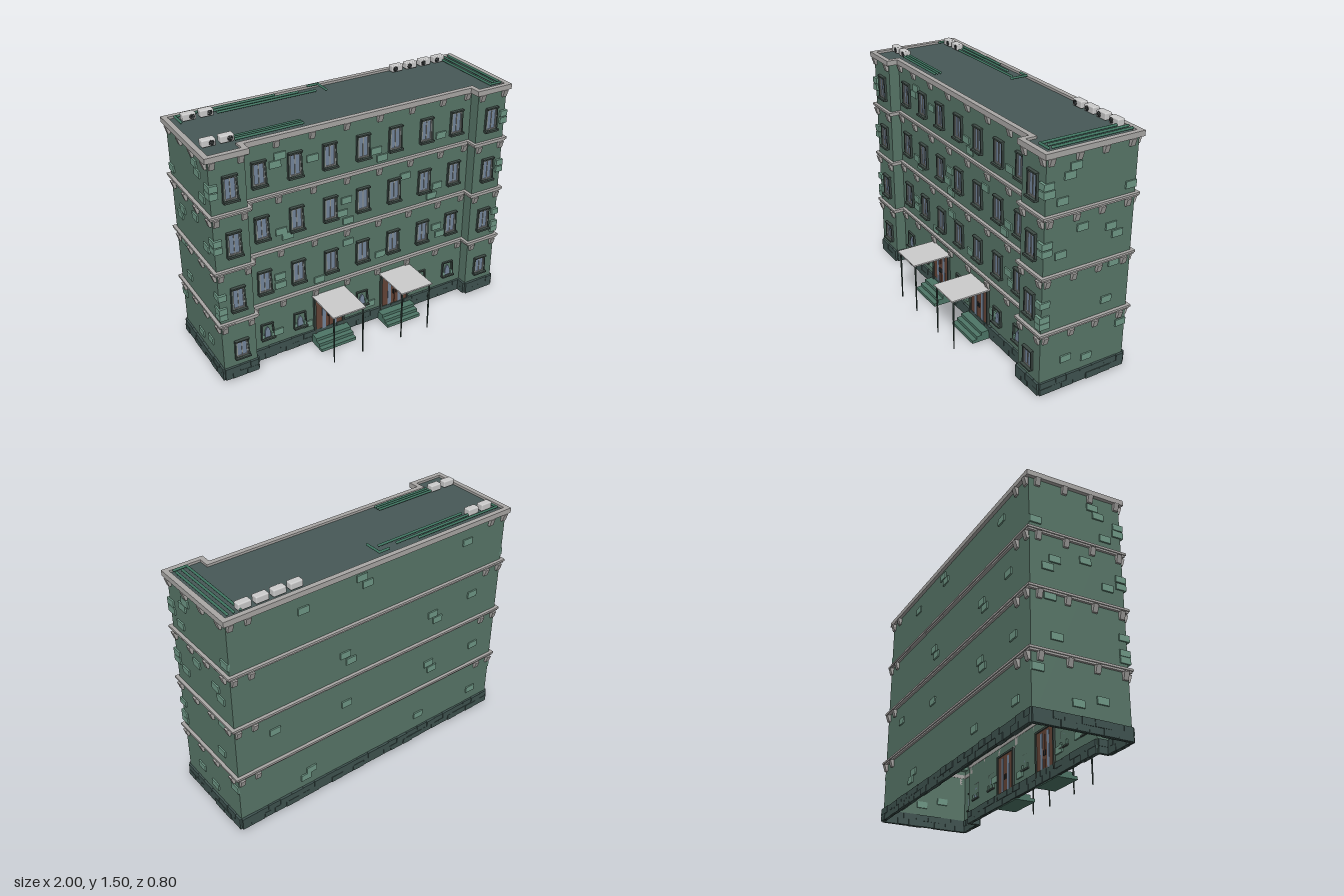
import * as THREE from 'three';
import { RoundedBoxGeometry } from 'three/addons/geometries/RoundedBoxGeometry.js';

const mat = (color, side = THREE.FrontSide) => new THREE.MeshStandardMaterial({ color, side });
const M = {
  wall: mat(0x587668, THREE.DoubleSide), brick: mat(0x6f9886), plinth: mat(0x3f5350), roof: mat(0x475857, THREE.DoubleSide),
  stone: mat(0xa9a7a5), trim: mat(0x3d4a45), frame: mat(0x8f9391), glass: mat(0x74869c), wood: mat(0x654436),
  step: mat(0x4d7566), pipe: mat(0x3f7460), metal: mat(0xcccccc), dark: mat(0x2c2f30), post: mat(0x33443f),
};

let seed = 7;
const rnd = () => (seed = (seed * 16807) % 2147483647) / 2147483647;

function add(parent, name, geo, material, x = 0, y = 0, z = 0, ry = 0) {
  const m = new THREE.Mesh(geo, material);
  m.name = name;
  m.position.set(x, y, z);
  m.rotation.y = ry;
  parent.add(m);
  return m;
}
const box = (w, h, d) => new THREE.BoxGeometry(w, h, d);
function group(parent, name, x = 0, y = 0, z = 0, ry = 0) {
  const g = new THREE.Group();
  g.name = name;
  g.position.set(x, y, z);
  g.rotation.y = ry;
  parent.add(g);
  return g;
}

// Plan outline (x, z), grown outward by o: two shallow wings around a recessed front
const plan = (o) => [
  [-0.975 - o, 0.205 + o], [-0.765 + o, 0.205 + o], [-0.765 + o, 0.135 + o], [0.765 - o, 0.135 + o],
  [0.765 - o, 0.205 + o], [0.975 + o, 0.205 + o], [0.975 + o, -0.375 - o], [-0.975 - o, -0.375 - o],
];
const planPoints = (o) => plan(o).map(([x, z]) => new THREE.Vector2(x, -z));
const frontZ = (x) => (Math.abs(x) > 0.765 ? 0.205 : 0.135);

function forEdges(o, fn) {
  const p = plan(o);
  p.forEach(([x, z], i) => {
    const [x2, z2] = p[(i + 1) % p.length];
    const len = Math.hypot(x2 - x, z2 - z);
    fn(x, z, (x2 - x) / len, (z2 - z) / len, len, Math.atan2(-(z2 - z), x2 - x));
  });
}

// Horizontal ring following the plan
function band(parent, name, y, h, outer, inner) {
  const s = new THREE.Shape(planPoints(outer));
  s.holes.push(new THREE.Path(planPoints(inner)));
  const geo = new THREE.ExtrudeGeometry(s, { depth: h, bevelEnabled: false }).rotateX(-Math.PI / 2);
  add(parent, name, geo, M.stone, 0, y, 0);
}

// Tapered bracket, its back on z = 0
const corbelShape = new THREE.Shape([[0, 0], [0, -0.045], [-0.012, -0.045], [-0.026, 0]].map((p) => new THREE.Vector2(...p)));
const corbelGeo = new THREE.ExtrudeGeometry(corbelShape, { depth: 0.03, bevelEnabled: false })
  .translate(0, 0, -0.015).rotateY(Math.PI / 2);

// Slightly crooked rectangular surround with an opening
function surround(w, h, t, d, skew) {
  const quad = (a, b) => [[-a - skew, -b], [a + skew, -b - skew], [a - skew, b], [-a, b + skew]].map((p) => new THREE.Vector2(...p));
  const s = new THREE.Shape(quad(w / 2 + t, h / 2 + t));
  s.holes.push(new THREE.Path(quad(w / 2, h / 2)));
  return new THREE.ExtrudeGeometry(s, { depth: d, bevelEnabled: false });
}
const trimGeo = surround(0.07, 0.132, 0.009, 0.014, 0.003);
const frameGeo = surround(0.058, 0.12, 0.007, 0.01, 0);

function windowAt(parent, x, y, h = 1) {
  const g = group(parent, 'window', x, y, frontZ(x));
  add(g, 'windowSurround', trimGeo, M.trim);
  add(g, 'windowFrame', frameGeo, M.frame);
  add(g, 'windowGlass', box(0.07, 0.132, 0.008), M.glass);
  add(g, 'windowMullion', box(0.005, 0.125, 0.016), M.frame);
  add(g, 'windowLintel', box(0.086, 0.009, 0.03), M.trim, 0.002, 0.074, 0.006);
  add(g, 'windowSill', box(0.096, 0.012, 0.04), M.trim, 0, -0.074, 0.008);
  g.scale.y = h;
}

// Small ground-floor window: stepped stone blocks around a pointed pane
function pointedWindow(parent, x, y) {
  const g = group(parent, 'pointedWindow', x, y, frontZ(x));
  add(g, 'pointedSurround', surround(0.068, 0.088, 0.008, 0.013, 0.003), M.trim);
  const s = new THREE.Shape();
  s.moveTo(-0.02, -0.045);
  s.lineTo(0.02, -0.045);
  s.lineTo(0.017, -0.005);
  s.quadraticCurveTo(0.014, 0.015, 0, 0.028);
  s.quadraticCurveTo(-0.014, 0.015, -0.017, -0.005);
  add(g, 'pointedPane', new THREE.ExtrudeGeometry(s, { depth: 0.008, bevelEnabled: false }), M.glass);
  for (const sx of [-1, 1]) add(g, 'windowBlock', box(0.016, 0.03, 0.02), M.brick, sx * 0.032, -0.035, 0.002);
  add(g, 'windowSill', box(0.09, 0.01, 0.036), M.trim, 0, -0.052, 0.008);
}

function entrance(parent, x) {
  const g = group(parent, 'entrance', x, 0, 0.135);
  for (const s of [-1, 1]) {
    add(g, 'doorLeaf', box(0.09, 0.265, 0.016), M.wood, s * 0.047, 0.193, 0.002);
    add(g, 'doorGlass', box(0.024, 0.225, 0.02), M.glass, s * 0.038, 0.195, 0.002);
    add(g, 'doorHandle', box(0.004, 0.03, 0.03), M.dark, s * 0.01, 0.18, 0.004);
    add(g, 'doorJamb', box(0.012, 0.275, 0.03), M.trim, s * 0.1, 0.195, 0.002);
    add(g, 'canopyPost', new THREE.CylinderGeometry(0.0065, 0.004, 0.332, 8), M.post, s * 0.1, 0.166, 0.245);
  }
  add(g, 'doorLintel', box(0.212, 0.012, 0.03), M.trim, 0, 0.329, 0.002);
  add(g, 'canopy', box(0.225, 0.009, 0.262), M.metal, 0, 0.337, 0.129);
  for (let i = 0; i < 3; i++) add(g, 'step', box(0.245, 0.02, 0.13 - i * 0.032), M.step, 0, 0.015 + i * 0.02, 0.065 - i * 0.016);
}

// Pipe run over the roof through (x, z) points
function pipe(parent, pts, y = 1.472) {
  const g = group(parent, 'roofPipe');
  pts.forEach(([x, z], i) => {
    add(g, 'pipeJoint', new THREE.SphereGeometry(0.008, 10, 8), M.pipe, x, y, z);
    if (!i) return;
    const [px, pz] = pts[i - 1];
    const geo = new THREE.CylinderGeometry(0.0075, 0.0075, Math.hypot(x - px, z - pz), 10).rotateZ(Math.PI / 2);
    add(g, 'pipeLength', geo, M.pipe, (x + px) / 2, y, (z + pz) / 2, Math.atan2(-(z - pz), x - px));
  });
}

function coolingUnit(parent, x, z, dir) {
  const g = group(parent, 'coolingUnit', x, 1.482, z);
  add(g, 'unitCase', new RoundedBoxGeometry(0.08, 0.042, 0.046, 2, 0.007), M.metal);
  const fan = group(g, 'fan', 0.016 * dir, 0, 0.023);
  add(fan, 'fanRing', new THREE.TorusGeometry(0.014, 0.002, 6, 16), M.dark);
  for (let i = 0; i < 3; i++) add(fan, 'fanBlade', box(0.026, 0.007, 0.004), M.dark).rotation.z = (i * Math.PI) / 3;
}

export function createModel() {
  const model = new THREE.Group();
  model.name = 'building';

  // Outer walls, open underneath, and the roof deck
  const walls = group(model, 'walls');
  forEdges(0, (x, z, dx, dz, len, ry) =>
    add(walls, 'wall', new THREE.PlaneGeometry(len, 1.44), M.wall, x + dx * len / 2, 0.73, z + dz * len / 2, ry));
  add(model, 'roof', new THREE.ShapeGeometry(new THREE.Shape(planPoints(0))).rotateX(-Math.PI / 2), M.roof, 0, 1.453, 0);

  // Plinth: two courses of uneven blocks
  const plinth = group(model, 'plinth');
  forEdges(0.002, (x, z, dx, dz, len, ry) => {
    for (let row = 0; row < 2; row++) {
      const n = Math.max(1, Math.round(len / 0.08));
      const cuts = [0];
      for (let i = 1; i < n; i++) cuts.push(((i + (row ? 0.25 : -0.2) + (rnd() - 0.5) * 0.3) / n) * len);
      cuts.push(len);
      for (let i = 0; i < n; i++) {
        const mid = (cuts[i] + cuts[i + 1]) / 2;
        const geo = box(cuts[i + 1] - cuts[i] - 0.002, 0.036 + rnd() * 0.006, 0.018 + rnd() * 0.012);
        add(plinth, 'plinthBlock', geo, M.plinth, x + dx * mid, 0.031 + row * 0.039, z + dz * mid, ry);
      }
    }
  });

  // Cornices with corbels
  [0.39, 0.742, 1.093, 1.435].forEach((y, i) => {
    const g = group(model, 'cornice');
    if (i < 3) {
      band(g, 'corniceLower', y, 0.013, 0.014, -0.002);
      band(g, 'corniceUpper', y + 0.011, 0.013, 0.02, -0.002);
    } else band(g, 'parapet', y, 0.032, 0.021, -0.01);
    for (const s of [-1, 1]) {
      for (const x of [0.11, 0.33, 0.55, 0.73, 0.79, 0.955]) add(g, 'corbel', corbelGeo, M.stone, s * x, y, frontZ(x));
      for (const z of [0.18, 0.01, -0.155, -0.325]) add(g, 'corbel', corbelGeo, M.stone, s * 0.975, y, z, s * Math.PI / 2);
      for (const x of [0.955, 0.85]) add(g, 'corbel', corbelGeo, M.stone, s * x, y, -0.375, Math.PI);
    }
  });

  // Windows on the front
  const columns = [-0.86, -0.66, -0.44, -0.22, 0, 0.22, 0.44, 0.66, 0.87];
  for (const x of columns) {
    for (const y of [0.556, 0.916, 1.258]) windowAt(model, x, y);
    if (Math.abs(x) > 0.8) windowAt(model, x, 0.205, 0.8);
    else if (Math.abs(x) !== 0.22) pointedWindow(model, x, 0.205);
  }
  for (const x of [-0.24, 0.24]) entrance(model, x);

  // Exposed bricks
  const bricks = group(model, 'exposedBricks');
  const brickGeo = box(0.07, 0.042, 0.018);
  const front = [[-0.53, 1.335], [-0.56, 1.29], [-0.33, 1.27], [0.09, 1.21], [0.13, 1.155], [0.55, 1.2], [0.3, 0.99], [-0.11, 0.94],
    [-0.54, 0.86], [-0.5, 0.82], [-0.14, 0.86], [-0.1, 0.8], [0.54, 0.86], [0.5, 0.8], [-0.1, 0.65], [-0.56, 0.56], [-0.56, 0.5],
    [-0.3, 0.45], [0.13, 0.49], [0.55, 0.56], [0.58, 0.5], [-0.59, 0.17], [-0.39, 0.15], [0.39, 0.2], [0.06, 0.14]];
  const side = [[0.025, 1.36], [0.06, 1.315], [0.185, 1.235], [0.1, 1.18], [-0.34, 1.17], [-0.035, 1], [-0.225, 0.955],
    [-0.27, 0.9], [0.1, 0.87], [-0.26, 0.725], [-0.225, 0.5], [0.035, 0.2], [-0.11, 0.16], [-0.34, 0.31]];
  const back = [[0.51, 1.336], [0.12, 1.39], [0.08, 1.34], [-0.67, 1.34], [0.23, 0.925], [0.19, 0.87], [-0.43, 0.93], [-0.47, 0.88],
    [0.52, 0.16], [0.48, 0.2], [-0.42, 0.57], [-0.45, 0.52], [0.22, 0.57], [-0.8, 0.55], [-0.36, 0.19], [-0.82, 0.18], [0.72, 0.62], [-0.75, 0.95]];
  for (const [x, y] of front) add(bricks, 'brick', brickGeo, M.brick, x, y, frontZ(x));
  for (const [x, y] of back) add(bricks, 'brick', brickGeo, M.brick, x, y, -0.375);
  for (const s of [-1, 1]) {
    for (const [z, y] of side) add(bricks, 'brick', brickGeo, M.brick, s * 0.975, y, z, Math.PI / 2);
    // Corner bricks wrap the front edge
    for (const y of [0.46, 0.5, 0.59, 0.9, 0.945, 1.235, 1.28])
      add(bricks, 'cornerBrick', box(0.05, 0.038, 0.065), M.brick, s * 0.959, y, 0.188);
  }

  // Roof equipment
  for (const [x, z] of [[-0.87, -0.295], [-0.765, -0.295], [-0.91, 0.07], [-0.805, 0.07]]) coolingUnit(model, x, z, 1);
  for (const x of [0.525, 0.63, 0.735, 0.84]) coolingUnit(model, x, -0.33, -1);
  pipe(model, [[-0.93, -0.25], [-0.93, -0.34], [-0.32, -0.34]]);
  pipe(model, [[-0.72, -0.31], [-0.18, -0.31]]);
  pipe(model, [[-0.7, -0.275], [-0.08, -0.275]]);
  pipe(model, [[-0.09, -0.345], [-0.025, -0.345], [-0.025, -0.24]], 1.48);
  for (const z of [0.055, 0.075, 0.095]) pipe(model, [[-0.76, z], [-0.36, z]]);
  pipe(model, [[0.87, -0.35], [0.87, 0.175], [0.945, 0.175]]);
  for (const x of [0.908, 0.945]) pipe(model, [[x, -0.35], [x, 0.15]]);
  return model;
}
